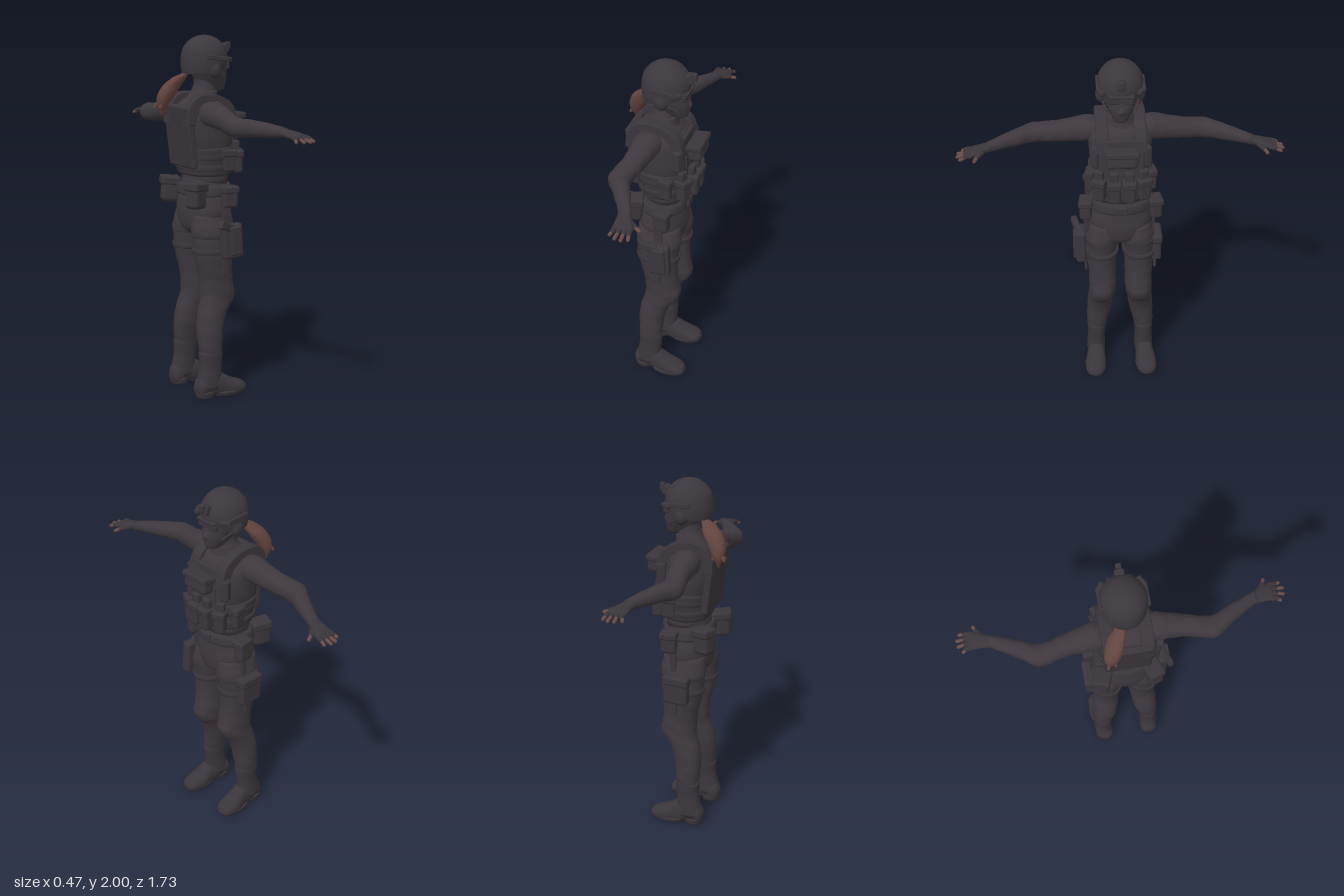
import * as THREE from 'three';
import { RoundedBoxGeometry } from 'three/addons/geometries/RoundedBoxGeometry.js';

const mat = (name, color, side = THREE.FrontSide) => {
  const m = new THREE.MeshStandardMaterial({ color, side });
  m.name = name;
  return m;
};

// Smooth skin through elliptical sections. Row: [position on axis, centre 1, centre 2, radius 1, radius 2]
function loft(axis, rows, { power = 2.2, fold = 0, floor = -1, seg = 28, sub = 4 } = {}) {
  const pos = [], idx = [], n = (rows.length - 1) * sub;
  const at = (k, c) => rows[Math.min(rows.length - 1, Math.max(0, k))][c];
  const put = (t, u, v) => {
    const p = axis === 'y' ? [u, t, v] : axis === 'z' ? [u, v, t] : [t, u, v];
    pos.push(p[0], Math.max(floor, p[1]), p[2]);
  };
  const sample = (s) => {
    const k = Math.min(rows.length - 2, Math.floor(s)), f = s - k;
    return [0, 1, 2, 3, 4].map((c) => {
      const a = at(k - 1, c), b = at(k, c), d = at(k + 1, c), e = at(k + 2, c);
      if (c === 0) return b + (d - b) * f;
      return b + 0.5 * f * (d - a + f * (2 * a - 5 * b + 4 * d - e + f * (3 * (b - d) + e - a)));
    });
  };
  for (let i = 0; i <= n; i++) {
    const [t, c1, c2, r1, r2] = sample(i / sub);
    for (let j = 0; j < seg; j++) {
      const a = (j / seg) * Math.PI * 2, c = Math.cos(a), s = Math.sin(a);
      const w = 1 + fold * Math.sin(t * 75 + 2 * Math.sin(a * 2)) * (0.6 + 0.4 * Math.sin(a * 3 + t * 20));
      put(t, c1 + Math.sign(c) * Math.abs(c) ** (2 / power) * r1 * w, c2 + Math.sign(s) * Math.abs(s) ** (2 / power) * r2 * w);
    }
  }
  for (let i = 0; i < n; i++) for (let j = 0; j < seg; j++) {
    const a = i * seg + j, b = i * seg + (j + 1) % seg;
    idx.push(a, b, a + seg, b, b + seg, a + seg);
  }
  // end caps
  const e0 = rows[0], e1 = rows[rows.length - 1], q = (n + 1) * seg;
  put(e0[0], e0[1], e0[2]);
  put(e1[0], e1[1], e1[2]);
  for (let j = 0; j < seg; j++) {
    const k = (j + 1) % seg;
    idx.push(q, k, j, q + 1, n * seg + j, n * seg + k);
  }
  // turn every face outward
  const forward = (axis === 'y') === (e1[0] < e0[0]);
  if (!forward) for (let i = 0; i < idx.length; i += 3) [idx[i], idx[i + 1]] = [idx[i + 1], idx[i]];
  const g = new THREE.BufferGeometry();
  g.setAttribute('position', new THREE.Float32BufferAttribute(pos, 3));
  g.setIndex(idx);
  g.computeVertexNormals();
  return g;
}

export function createModel() {
  const root = new THREE.Group();
  const cloth = mat('dark cloth', 0x3e383e), gear = mat('dark gear', 0x3a353b);
  const shell = mat('helmet shell', 0x3c373d, THREE.DoubleSide);
  const skin = mat('skin', 0x664a46), hair = mat('brown hair', 0x62443f);

  const add = (name, geo, m) => {
    const o = new THREE.Mesh(geo, m);
    o.name = name;
    root.add(o);
    return o;
  };
  const box = (name, p, s, ry = 0, rz = 0, m = gear) => {
    const o = add(name, new RoundedBoxGeometry(...s, 2, Math.min(...s) * 0.28), m);
    o.position.set(...p);
    o.rotation.set(0, ry, rz);
    return o;
  };
  const rod = (name, a, b, r, m) => {
    const A = new THREE.Vector3(...a), d = new THREE.Vector3(...b).sub(A);
    const o = add(name, new THREE.CapsuleGeometry(r, d.length(), 4, 10), m);
    o.position.copy(A).addScaledVector(d, 0.5);
    o.quaternion.setFromUnitVectors(new THREE.Vector3(0, 1, 0), d.normalize());
    return o;
  };
  // pouch with a lid flap
  const pouch = (name, p, s, ry = 0, rz = 0) => {
    box(name, p, s, ry, rz);
    box(name + 'Flap', [p[0], p[1] + s[1] * 0.33, p[2]], [s[0] + 0.012, s[1] * 0.34, s[2] + 0.012], ry, rz);
  };

  // Hips and torso
  add('hips', loft('y', [[0.91, 0, 0, 0.08, 0.05], [0.95, 0, 0, 0.12, 0.13], [1.03, 0, 0, 0.132, 0.172],
    [1.1, 0, 0, 0.128, 0.168], [1.18, 0.005, 0, 0.118, 0.15], [1.24, 0.01, 0, 0.113, 0.14]], { fold: 0.008 }), cloth);
  add('torso', loft('y', [[1.2, 0.01, 0, 0.113, 0.145], [1.3, 0.01, 0, 0.12, 0.152], [1.4, 0, 0, 0.132, 0.162],
    [1.5, -0.01, 0, 0.14, 0.168], [1.58, -0.018, 0, 0.138, 0.17], [1.63, -0.02, 0, 0.112, 0.14],
    [1.665, -0.01, 0, 0.075, 0.085], [1.72, 0.005, 0, 0.06, 0.06], [1.78, 0.01, 0, 0.058, 0.056]]), cloth);
  add('collar', loft('y', [[1.64, -0.005, 0, 0.085, 0.09], [1.67, 0, 0, 0.075, 0.077], [1.7, 0.008, 0, 0.068, 0.068]]), cloth);
  add('belt', loft('y', [[1.135, 0.002, 0, 0.136, 0.172], [1.145, 0.002, 0, 0.14, 0.175], [1.185, 0.004, 0, 0.135, 0.168],
    [1.195, 0.004, 0, 0.128, 0.16]]), gear);
  box('buckle', [0.14, 1.165, 0], [0.025, 0.05, 0.07]);

  // Vest
  add('cummerbund', loft('y', [[1.245, 0.005, 0, 0.122, 0.155], [1.255, 0.005, 0, 0.13, 0.162], [1.32, 0.004, 0, 0.135, 0.168],
    [1.39, 0, 0, 0.143, 0.174], [1.4, 0, 0, 0.136, 0.168]], { power: 2.4 }), gear);
  add('vestBody', loft('y', [[1.37, 0, 0, 0.136, 0.16], [1.45, -0.005, 0, 0.148, 0.165], [1.53, -0.015, 0, 0.15, 0.155],
    [1.59, -0.02, 0, 0.146, 0.14], [1.61, -0.02, 0, 0.13, 0.13]], { power: 2.6 }), gear);
  box('backPanel', [-0.142, 1.46, 0], [0.04, 0.34, 0.25], 0, 0.12);
  box('frontPanel', [0.122, 1.48, 0], [0.04, 0.24, 0.24], 0, 0.08);
  for (const y of [1.29, 1.35]) add('vestStrap', loft('y', [[y - 0.016, 0.004, 0, 0.134, 0.167], [y - 0.012, 0.004, 0, 0.14, 0.174],
    [y + 0.012, 0.004, 0, 0.142, 0.176], [y + 0.016, 0.004, 0, 0.136, 0.169]], { sub: 1, power: 2.4 }), gear);
  const strapShape = new THREE.Shape();
  strapShape.moveTo(0.14, 1.54);
  strapShape.splineThru([[0.11, 1.62], [0.05, 1.665], [-0.03, 1.685], [-0.11, 1.675], [-0.16, 1.62], [-0.17, 1.53]].map((p) => new THREE.Vector2(...p)));
  strapShape.lineTo(-0.13, 1.53);
  strapShape.splineThru([[-0.11, 1.6], [-0.04, 1.63], [0.04, 1.61], [0.1, 1.54]].map((p) => new THREE.Vector2(...p)));
  const strapGeo = new THREE.ExtrudeGeometry(strapShape, { depth: 0.05, bevelSize: 0.006, bevelThickness: 0.008, bevelSegments: 2, curveSegments: 6 });
  for (const z of [0.075, -0.125]) add('shoulderStrap', strapGeo, gear).position.z = z;

  // Chest and magazine pouches
  pouch('chestPouch', [0.185, 1.525, 0], [0.075, 0.095, 0.165], 0, 0.12);
  for (const z of [-0.118, -0.04, 0.04, 0.118]) {
    const out = Math.abs(z) > 0.1, ry = out ? -Math.sign(z) * 0.4 : 0;
    pouch('magazinePouch', [out ? 0.145 : 0.175, 1.315, z], [0.06, 0.13, 0.066], ry);
    box('magazine', [out ? 0.14 : 0.167, 1.39, z], [0.035, 0.08, 0.05], ry);
  }
  for (const s of [1, -1]) {
    box('chestStrap', [0.145, 1.46, s * 0.075], [0.012, 0.08, 0.02], 0, 0.05);
    pouch('sidePouch', [0.06, 1.33, s * 0.165], [0.07, 0.12, 0.04], s * -0.2);
    box('radio', [0.115, 1.5, s * 0.135], [0.05, 0.12, 0.04], s * -0.4);
  }

  // Head, mask and helmet
  add('maskedHead', loft('y', [[1.69, 0.075, 0, 0.02, 0.02], [1.705, 0.075, 0, 0.05, 0.04], [1.74, 0.05, 0, 0.085, 0.06],
    [1.78, 0.04, 0, 0.098, 0.076], [1.84, 0.02, 0, 0.108, 0.09], [1.9, 0.01, 0, 0.1, 0.09], [1.95, 0.005, 0, 0.05, 0.05]]), cloth);
  add('nose', loft('y', [[1.745, 0.125, 0, 0.008, 0.02], [1.77, 0.128, 0, 0.02, 0.02], [1.81, 0.12, 0, 0.012, 0.012]]), cloth);
  box('eyewear', [0.115, 1.832, 0], [0.035, 0.04, 0.13]);
  const dome = new THREE.SphereGeometry(1, 36, 22, 0, Math.PI * 2, 0, Math.PI * 0.6);
  const dp = dome.attributes.position;
  for (let i = 0; i < dp.count; i++) {
    const x = dp.getX(i), y = dp.getY(i), z = dp.getZ(i), low = Math.max(0, 0.35 - y);
    dp.setXYZ(i, 0.006 + x * 0.13, 1.876 + y * 0.124 + low * (x > 0.1 ? (x - 0.1) * 0.055 : x * 0.02) - low * 0.045, z * 0.121);
  }
  dome.computeVertexNormals();
  add('helmet', dome, shell);
  box('helmetBrim', [0.125, 1.858, 0], [0.035, 0.014, 0.13], 0, -0.15);
  box('helmetMount', [0.134, 1.925, 0], [0.035, 0.055, 0.05], 0, 0.35);
  box('mountClip', [0.158, 1.938, 0], [0.028, 0.045, 0.03]);
  for (const s of [1, -1]) {
    box('helmetRail', [0.02, 1.88, s * 0.119], [0.13, 0.024, 0.016], 0, -0.08);
    box('railLight', [0.095, 1.87, s * 0.105], [0.06, 0.026, 0.026], s * 0.6);
    const cup = add('earCup', new THREE.SphereGeometry(1, 18, 12), gear);
    cup.scale.set(0.038, 0.045, 0.03);
    cup.position.set(0.012, 1.815, s * 0.1);
    rod('chinStrap', [0.03, 1.8, s * 0.085], [0.085, 1.71, s * 0.035], 0.007, gear);
    rod('microphoneArm', [0.03, 1.8, s * 0.1], [0.09, 1.765, s * 0.075], 0.006, gear);
  }
  add('ponytail', loft('y', [[1.8, -0.09, -0.03, 0.015, 0.015], [1.775, -0.12, -0.045, 0.038, 0.03], [1.73, -0.155, -0.07, 0.052, 0.043],
    [1.67, -0.185, -0.088, 0.046, 0.044], [1.62, -0.197, -0.1, 0.03, 0.032], [1.565, -0.2, -0.105, 0.005, 0.006]], { fold: 0.02 }), hair);
  for (const [x, z] of [[-0.235, -0.12], [-0.225, -0.08], [-0.17, -0.12]]) rod('hairWisp', [-0.19, 1.68, -0.09], [x, 1.61, z], 0.008, hair);

  for (const s of [1, -1]) {
    const side = (rows, k) => rows.map((r) => r.map((v, i) => (i === k ? v * s : v)));
    // Arms and hands
    add('arm', loft('z', side([[0.1, -0.035, 1.58, 0.07, 0.06], [0.16, -0.04, 1.588, 0.075, 0.068], [0.21, -0.045, 1.583, 0.068, 0.066],
      [0.28, -0.05, 1.572, 0.06, 0.06], [0.35, -0.062, 1.56, 0.057, 0.055], [0.42, -0.077, 1.55, 0.058, 0.052], [0.47, -0.075, 1.547, 0.06, 0.05],
      [0.53, -0.04, 1.547, 0.052, 0.045], [0.6, -0.003, 1.545, 0.044, 0.038], [0.67, 0.032, 1.54, 0.036, 0.03], [0.7, 0.045, 1.538, 0.034, 0.025]], 0), { fold: 0.025 }), cloth);
    add('glove', loft('z', side([[0.68, 0.04, 1.538, 0.036, 0.027], [0.71, 0.05, 1.535, 0.036, 0.022], [0.75, 0.063, 1.53, 0.046, 0.02],
      [0.79, 0.07, 1.523, 0.049, 0.017], [0.805, 0.071, 1.521, 0.04, 0.01]], 0)), gear);
    [0.03, 0.057, 0.084, 0.11].forEach((x, i) => {
      const tip = [0.84, 0.862, 0.865, 0.85][i];
      rod('gloveFinger', [x, 1.523, s * 0.785], [x + 0.002, 1.519, s * 0.815], 0.0125, gear);
      rod('finger', [x + 0.002, 1.519, s * 0.81], [x + (i - 1.5) * 0.006, 1.506, s * (tip - 0.008)], 0.0095, skin);
    });
    rod('gloveThumb', [0.08, 1.528, s * 0.725], [0.118, 1.52, s * 0.753], 0.014, gear);
    rod('thumb', [0.118, 1.52, s * 0.753], [0.147, 1.512, s * 0.766], 0.01, skin);

    // Legs, knee pads and boots
    add('leg', loft('y', side([[1.03, 0, 0.085, 0.115, 0.08], [0.95, 0.002, 0.098, 0.127, 0.09], [0.87, 0, 0.104, 0.118, 0.088],
      [0.78, 0.003, 0.106, 0.108, 0.083], [0.68, 0.015, 0.103, 0.098, 0.077], [0.6, 0.025, 0.102, 0.1, 0.077], [0.54, 0.018, 0.106, 0.095, 0.075],
      [0.47, -0.015, 0.114, 0.083, 0.072], [0.38, -0.034, 0.122, 0.074, 0.069], [0.3, -0.036, 0.133, 0.069, 0.061], [0.24, -0.036, 0.138, 0.062, 0.053]], 2), { fold: 0.022 }), cloth);
    add('kneePad', loft('y', side([[0.5, 0.06, 0.107, 0.03, 0.04], [0.53, 0.07, 0.106, 0.045, 0.055], [0.58, 0.08, 0.104, 0.05, 0.06],
      [0.63, 0.075, 0.103, 0.04, 0.055], [0.66, 0.065, 0.103, 0.03, 0.04]], 2)), cloth);
    add('bootShaft', loft('y', side([[0.05, -0.05, 0.143, 0.075, 0.055], [0.12, -0.045, 0.142, 0.07, 0.052], [0.18, -0.038, 0.14, 0.066, 0.05],
      [0.25, -0.037, 0.138, 0.069, 0.055], [0.262, -0.037, 0.138, 0.064, 0.05]], 2), { fold: 0.012 }), gear);
    add('bootFoot', loft('x', side([[-0.132, 0.05, 0.138, 0.025, 0.025], [-0.115, 0.055, 0.139, 0.055, 0.046], [-0.05, 0.07, 0.141, 0.07, 0.052],
      [0.02, 0.055, 0.145, 0.075, 0.052], [0.08, 0.038, 0.149, 0.055, 0.06], [0.14, 0.03, 0.152, 0.04, 0.056], [0.17, 0.026, 0.153, 0.028, 0.038], [0.18, 0.024, 0.153, 0.01, 0.015]], 2), { floor: 0.012 }), gear);
    add('bootSole', loft('y', side([[0, 0.075, 0.15, 0.095, 0.056], [0.02, 0.075, 0.15, 0.103, 0.062], [0.026, 0.075, 0.15, 0.098, 0.058]], 2)), gear);
    add('bootHeel', loft('y', side([[0, -0.075, 0.141, 0.05, 0.046], [0.03, -0.075, 0.141, 0.057, 0.052], [0.036, -0.075, 0.141, 0.05, 0.048]], 2)), gear);

    // Belt pouches and thigh bands
    pouch('hipPouch', [-0.13, 1.15, s * 0.14], [0.1, 0.145, 0.085], s * 0.35, -0.08);
    pouch('beltPouch', [0.05, 1.135, s * 0.19], [0.085, 0.12, 0.065], s * -0.15);
    box('hangingStrap', [0.03, 1.03, s * 0.182], [0.035, 0.14, 0.015]);
    for (const y of [0.92, 0.83]) add('thighBand', loft('y', side([[y - 0.016, 0.001, 0.104, 0.114, 0.086], [y - 0.012, 0.001, 0.104, 0.122, 0.094],
      [y + 0.012, 0.001, 0.103, 0.125, 0.095], [y + 0.016, 0.001, 0.103, 0.116, 0.088]], 2), { sub: 1 }), gear);
  }

  // Holster with sidearm on one thigh, cargo pouch on the other
  box('holster', [0.045, 0.895, 0.222], [0.125, 0.19, 0.055], 0, 0.06);
  box('holsterCover', [0.055, 0.9, 0.248], [0.07, 0.16, 0.035], 0, 0.06);
  box('sidearmGrip', [-0.01, 0.985, 0.247], [0.095, 0.045, 0.034], 0.3, -0.35);
  box('holsterHanger', [0.03, 1.04, 0.195], [0.05, 0.14, 0.02]);
  box('holsterTail', [0.025, 0.755, 0.195], [0.035, 0.11, 0.016]);
  pouch('thighPouch', [0.005, 0.86, -0.2], [0.14, 0.165, 0.055], 0, 0.03);
  box('thighPouchTail', [0.02, 0.745, -0.195], [0.03, 0.09, 0.015]);

  return root;
}
